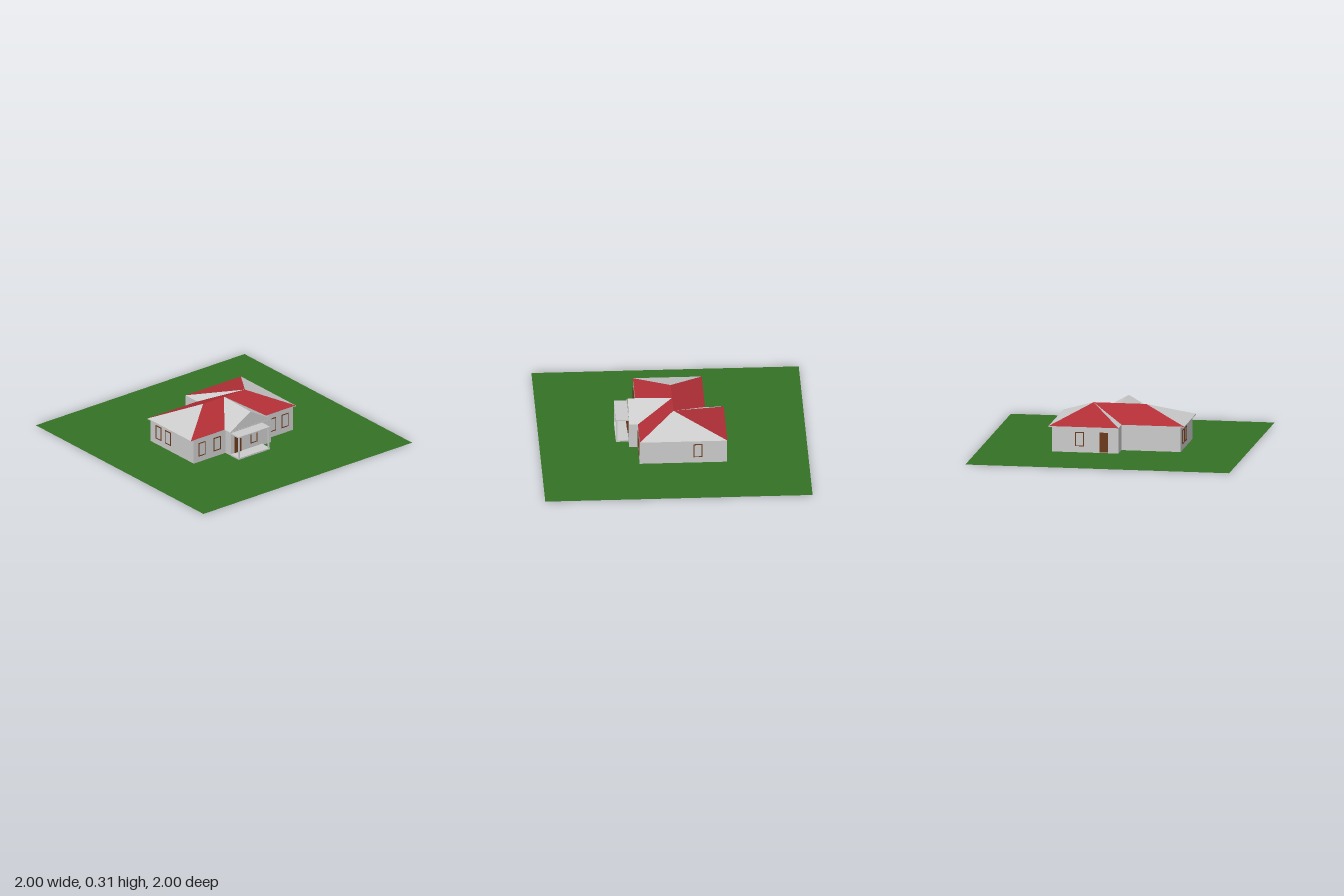
import * as THREE from 'three';

const mat = (color) => new THREE.MeshStandardMaterial({ color, side: THREE.DoubleSide, flatShading: true });

export function createModel() {
  const house = new THREE.Group();
  house.name = 'house';
  const grey = mat(0xcccccc), red = mat(0xb22f36), green = mat(0x347225), brown = mat(0x6b3a1c);
  const EAVE = 0.193, RIDGE = 0.308;

  const add = (name, geometry, material, parent = house) => {
    const mesh = new THREE.Mesh(geometry, material);
    mesh.name = name;
    parent.add(mesh);
    return mesh;
  };
  const box = (name, w, h, d, x, y, z, material = grey, parent = house) => {
    const mesh = add(name, new THREE.BoxGeometry(w, h, d), material, parent);
    mesh.position.set(x, y, z);
    return mesh;
  };
  // Upright prism over a floor plan of [x, z] corners
  const prism = (name, plan, y, height) => {
    const shape = new THREE.Shape(plan.map(([x, z]) => new THREE.Vector2(x, -z)));
    const geometry = new THREE.ExtrudeGeometry(shape, { depth: height, bevelEnabled: false });
    add(name, geometry.rotateX(-Math.PI / 2).translate(0, y, 0), grey);
  };
  // Flat roof panel, corners counter-clockwise seen from outside
  const panel = (name, corners, material) => {
    const pos = [];
    for (let i = 1; i < corners.length - 1; i++) pos.push(...corners[0], ...corners[i], ...corners[i + 1]);
    const geometry = new THREE.BufferGeometry();
    geometry.setAttribute('position', new THREE.Float32BufferAttribute(pos, 3));
    geometry.computeVertexNormals();
    add(name, geometry, material);
  };

  // Lawn
  add('lawn', new THREE.PlaneGeometry(2, 2).rotateX(-Math.PI / 2), green);

  // Walls and the thin eaves board that overhangs them
  const plan = (left, right, gableLeft, gableRight) => [
    [left, 0.265], [gableLeft, 0.265], [gableLeft, 0.33], [gableRight, 0.33], [gableRight, 0.265],
    [right, 0.265], [right, -0.388], [-0.055, -0.388], [-0.055, -0.25], [left, -0.25],
  ];
  prism('walls', plan(-0.503, 0.45, -0.2, 0.185), 0, 0.187);
  prism('eaves', plan(-0.53, 0.475, -0.208, 0.19), 0.186, EAVE - 0.186);

  // Roof: corners on the eaves and points on the ridge
  const e = (x, z) => [x, EAVE, z];
  const r = (x, z) => [x, RIDGE, z];
  const left = r(-0.2, 0), right = r(0.2, 0), mid = r(0, 0), peak = r(-0.01, 0.33);
  panel('leftHip', [e(-0.53, -0.25), e(-0.53, 0.265), left], grey);
  panel('rightHip', [e(0.475, 0.265), e(0.475, -0.39), right], grey);
  panel('frontRoofLeft', [e(-0.53, 0.265), e(-0.208, 0.265), mid, left], red);
  panel('frontRoofRight', [e(0.19, 0.265), e(0.475, 0.265), right, mid], red);
  panel('backRoof', [e(-0.055, -0.25), e(-0.53, -0.25), left, right], red);
  panel('wingBackRoof', [e(0.475, -0.39), e(-0.055, -0.39), right], red);
  panel('wingSideRoof', [e(-0.055, -0.39), e(-0.055, -0.25), right], grey);
  panel('gableRoofLeft', [e(-0.208, 0.265), e(-0.208, 0.33), peak, mid], grey);
  panel('gableRoofRight', [e(0.19, 0.33), e(0.19, 0.265), mid, peak], grey);
  panel('pediment', [e(-0.208, 0.328), e(0.19, 0.328), [-0.01, RIDGE, 0.328]], grey);

  // Windows: a pane in a thin brown frame, facing +z before turning
  const place = (group, x, z, turn) => {
    group.position.set(x, 0, z);
    group.rotation.y = turn;
    house.add(group);
  };
  const windowAt = (x, z, turn = 0) => {
    const group = new THREE.Group();
    group.name = 'window';
    box('pane', 0.06, 0.1, 0.002, 0, 0.101, 0.001, grey, group);
    for (const s of [-1, 1]) {
      box('frameSide', 0.006, 0.108, 0.006, s * 0.03, 0.101, 0.002, brown, group);
      box('frameRail', 0.066, 0.006, 0.006, 0, 0.101 + s * 0.051, 0.002, brown, group);
    }
    place(group, x, z, turn);
  };
  for (const x of [-0.425, -0.28, 0.25, 0.37]) windowAt(x, 0.265);
  windowAt(0.02, 0.33);
  windowAt(0.45, -0.17, Math.PI / 2);
  windowAt(0.24, -0.388, Math.PI);
  for (const z of [-0.15, -0.04]) windowAt(-0.503, z, -Math.PI / 2);

  // Doors
  box('frontDoor', 0.065, 0.146, 0.006, -0.132, 0.083, 0.331, brown);
  box('backDoor', 0.065, 0.15, 0.006, 0.055, 0.08, -0.389, brown);

  // Porch
  box('porchFloor', 0.3, 0.012, 0.095, -0.05, 0.006, 0.3775);
  box('porchRoof', 0.3, 0.01, 0.095, -0.05, 0.181, 0.3775);
  for (const s of [-1, 1]) box('porchPost', 0.012, 0.166, 0.012, -0.05 + s * 0.142, 0.094, 0.417);

  return house;
}
